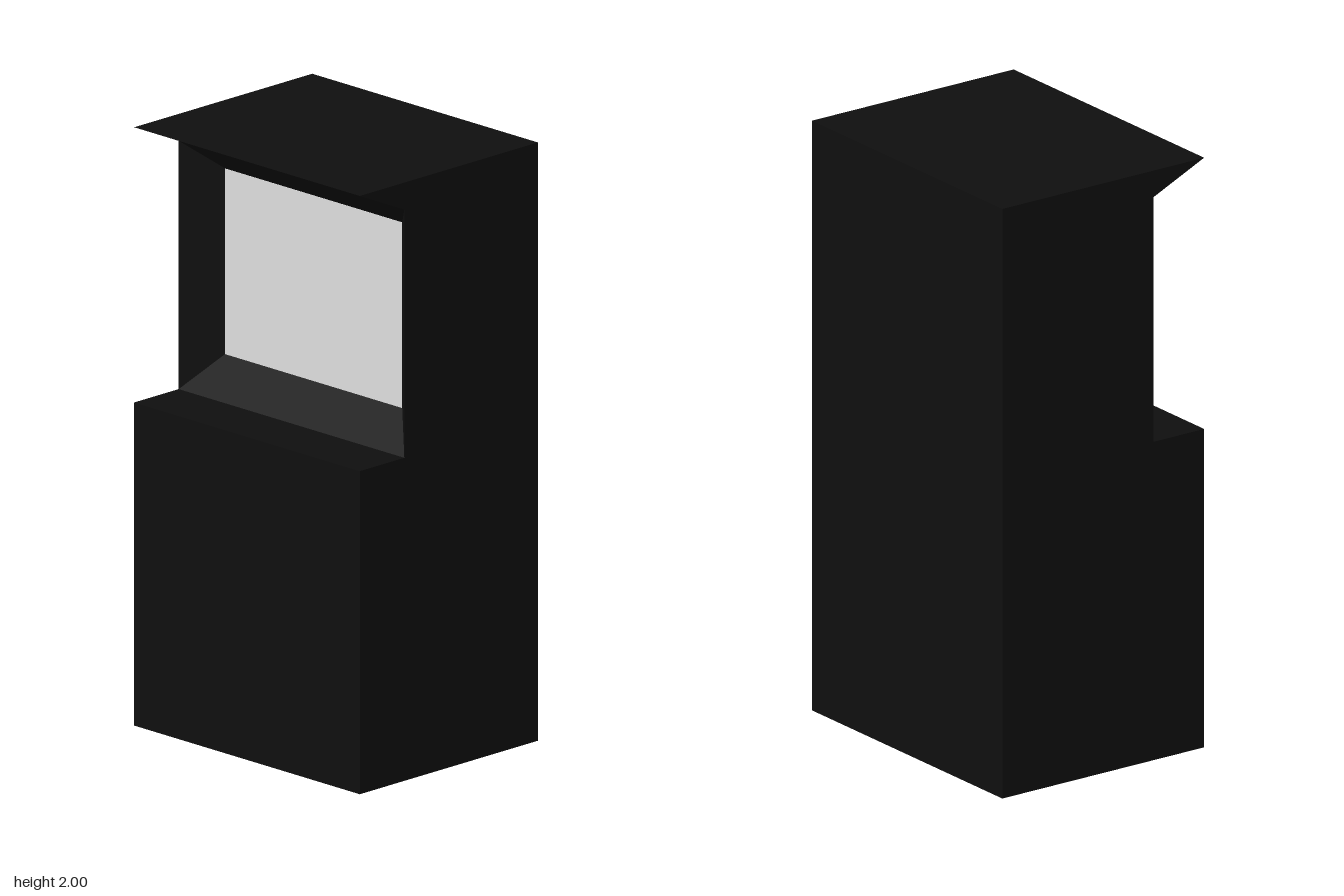
import * as THREE from 'three';
import { ConvexGeometry } from 'three/addons/geometries/ConvexGeometry.js';

const HALF_W = 0.51;      // half width of the cabinet
const SCREEN_HALF_W = 0.4;
const SCREEN_Z = 0.1, OPENING_Z = 0.2;
const SCREEN_Y = [1.2, 1.82], OPENING_Y = [1.08, 1.91];

export function createModel() {
  const black = new THREE.MeshStandardMaterial({ color: 0x0f0f0f });
  black.name = 'cabinetBlack';
  const pale = new THREE.MeshStandardMaterial({ color: 0xdedede });
  pale.name = 'screenPale';

  const model = new THREE.Group();
  model.name = 'arcadeCabinet';
  const add = (name, geometry, material) => {
    const mesh = new THREE.Mesh(geometry, material);
    mesh.name = name;
    model.add(mesh);
    return mesh;
  };

  // Cabinet: side profile (z, y) with canopy, screen recess and ledge, extruded across x
  const profile = new THREE.Shape([
    [-0.4, 0], [0.4, 0], [0.4, OPENING_Y[0]], [OPENING_Z, OPENING_Y[0]],
    [SCREEN_Z, SCREEN_Y[0]], [SCREEN_Z, SCREEN_Y[1]],
    [OPENING_Z, OPENING_Y[1]], [0.4, 2], [-0.4, 2],
  ].map(([z, y]) => new THREE.Vector2(z, y)));
  const cabinet = new THREE.ExtrudeGeometry(profile, { depth: HALF_W * 2, bevelEnabled: false });
  cabinet.translate(0, 0, -HALF_W).rotateY(-Math.PI / 2);
  add('cabinet', cabinet, black);

  // Sloped cheeks closing the recess on both sides
  for (const [side, name] of [[1, 'leftScreenCheek'], [-1, 'rightScreenCheek']]) {
    const points = [];
    for (const i of [0, 1]) {
      points.push(
        new THREE.Vector3(side * HALF_W, OPENING_Y[i], OPENING_Z),
        new THREE.Vector3(side * HALF_W, SCREEN_Y[i], SCREEN_Z),
        new THREE.Vector3(side * SCREEN_HALF_W, SCREEN_Y[i], SCREEN_Z),
      );
    }
    add(name, new ConvexGeometry(points), black);
  }

  // Screen: thin plate at the back of the recess
  const screen = add('screen', new THREE.BoxGeometry(
    SCREEN_HALF_W * 2, SCREEN_Y[1] - SCREEN_Y[0], 0.004), pale);
  screen.position.set(0, (SCREEN_Y[0] + SCREEN_Y[1]) / 2, SCREEN_Z);

  return model;
}
